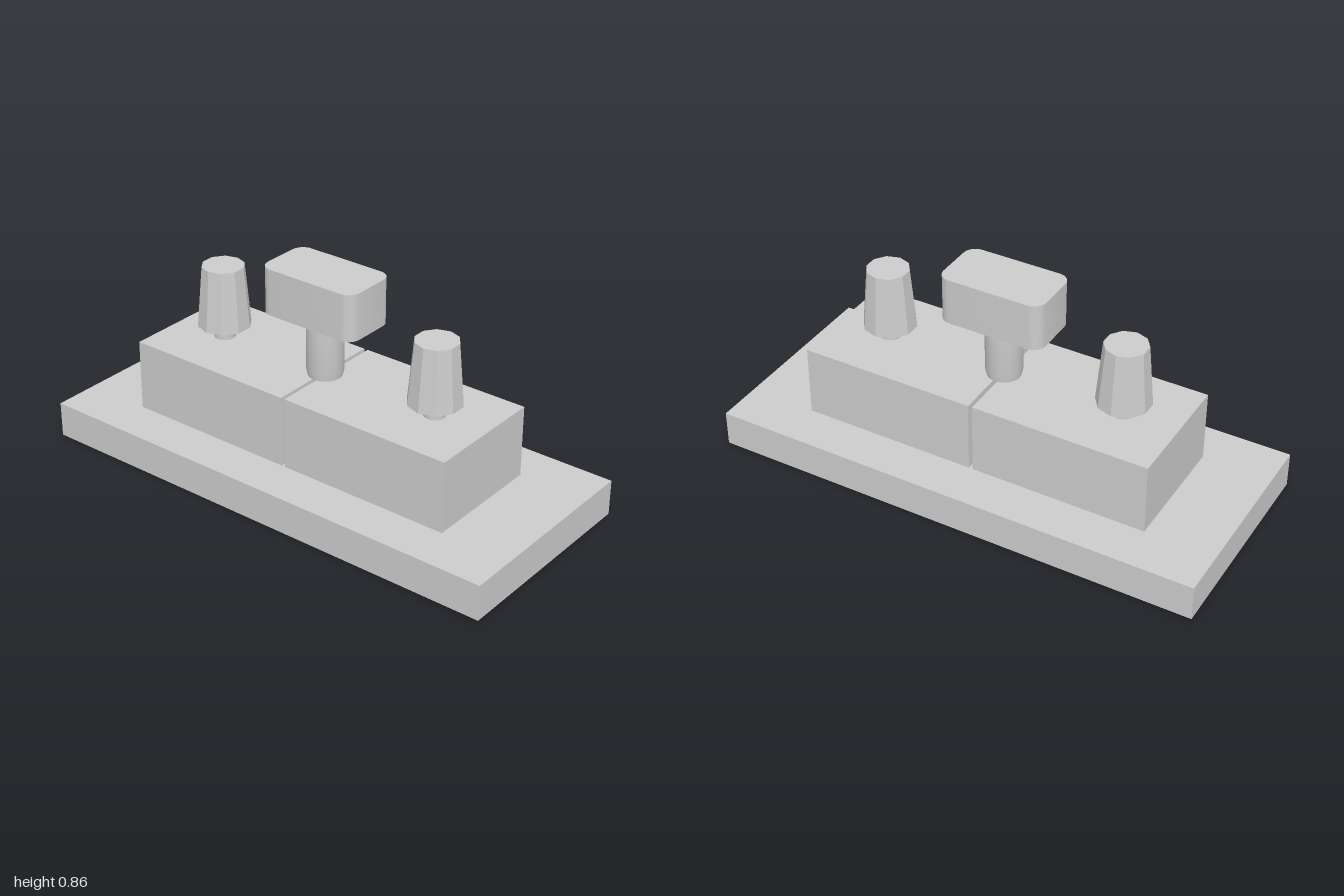
import * as THREE from 'three';
import { toCreasedNormals } from 'three/addons/utils/BufferGeometryUtils.js';

export function createModel() {
  const group = new THREE.Group();
  const smooth = new THREE.MeshStandardMaterial({ color: 0xcccccc });
  const flat = new THREE.MeshStandardMaterial({ color: 0xcccccc, flatShading: true });

  const add = (name, geometry, material, x = 0, y = 0, z = 0) => {
    const mesh = new THREE.Mesh(geometry, material);
    mesh.name = name;
    mesh.position.set(x, y, z);
    group.add(mesh);
  };

  // Base slab
  add('base', new THREE.BoxGeometry(2, 0.143, 0.854), flat, 0, 0.0715);

  // Two contact blocks with a narrow gap, each with a terminal knob on a short stem
  for (const [side, s] of [['left', 1], ['right', -1]]) {
    add(side + 'Block', new THREE.BoxGeometry(0.712, 0.287, 0.498), flat, s * 0.364 - 0.001, 0.2905, 0.001);
    add(side + 'TerminalStem', new THREE.CylinderGeometry(0.042, 0.042, 0.07, 24), smooth, s * 0.5, 0.455);
    add(side + 'TerminalKnob', new THREE.CylinderGeometry(0.084, 0.106, 0.249, 10), flat, s * 0.5, 0.6105);
  }

  // Plug shank: straight above, tapering down through the gap
  const profile = [[0, 0.143], [0.035, 0.143], [0.066, 0.432], [0.072, 0.46], [0.072, 0.672], [0, 0.672]]
    .map(([r, y]) => new THREE.Vector2(r, y));
  add('plugShank', toCreasedNormals(new THREE.LatheGeometry(profile, 32), 0.6), smooth, -0.002);

  // Plug handle: rounded rectangle in plan, extruded upward
  const w = 0.212, d = 0.12, r = 0.05;
  const outline = new THREE.Shape();
  outline.absarc(w - r, d - r, r, 0, Math.PI / 2);
  outline.absarc(r - w, d - r, r, Math.PI / 2, Math.PI);
  outline.absarc(r - w, r - d, r, Math.PI, Math.PI * 1.5);
  outline.absarc(w - r, r - d, r, Math.PI * 1.5, Math.PI * 2);
  outline.closePath();
  const handle = new THREE.ExtrudeGeometry(outline, { depth: 0.186, bevelEnabled: false, curveSegments: 8 });
  handle.rotateX(-Math.PI / 2);
  add('plugHandle', toCreasedNormals(handle, 0.6), smooth, -0.002, 0.67);

  return group;
}
